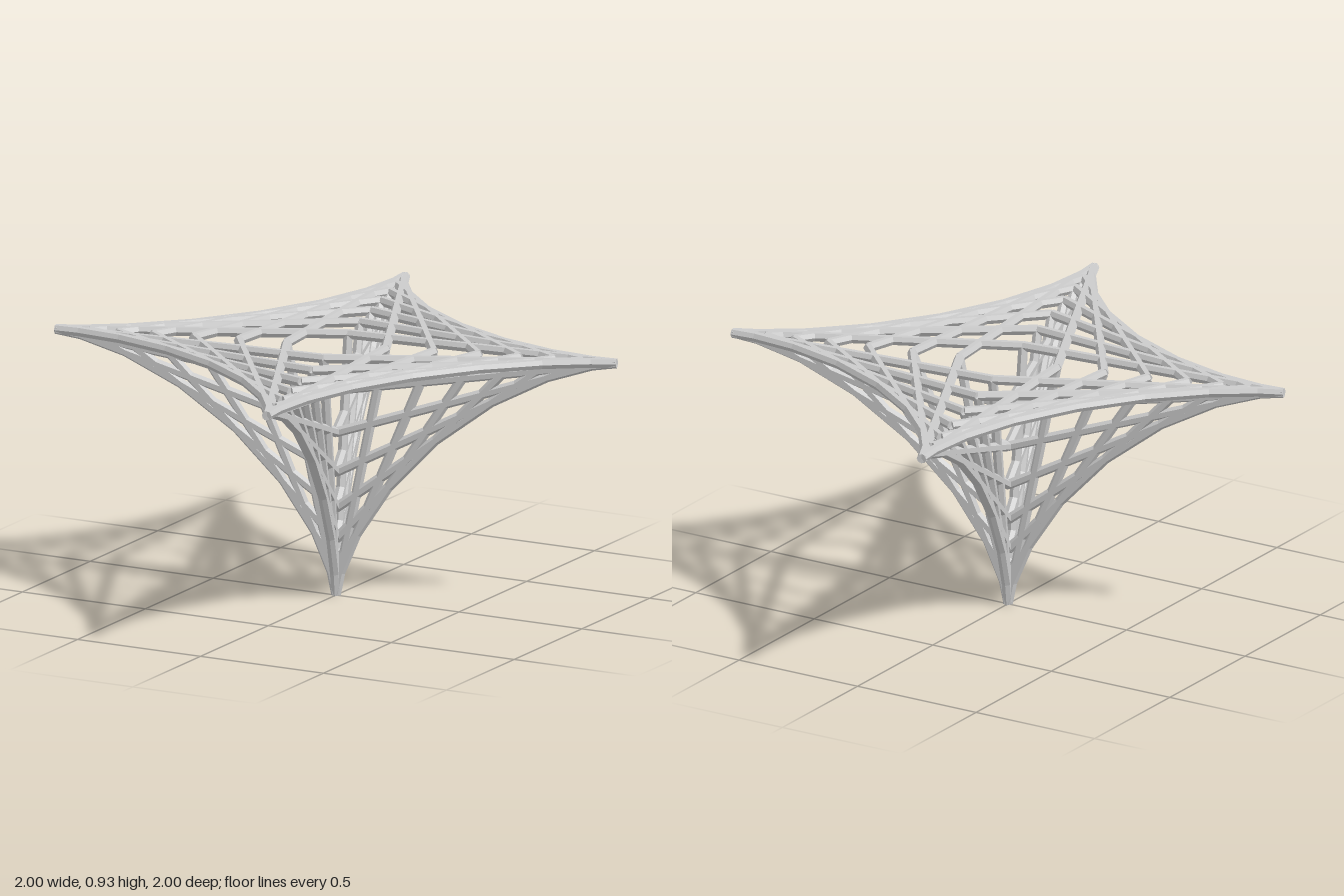
import * as THREE from 'three';

const STEPS = 9;
const RADIUS = 0.018;
const TOP = 0.915;
const BOTTOM = 0.003;

export function createModel() {
  const model = new THREE.Group();
  model.name = 'stringArtStar';
  const material = new THREE.MeshStandardMaterial({ color: 0xcccccc, flatShading: true });

  // Hexagonal rod between two points, one flat side facing the sheet's normal
  function rod(a, b, normal, name) {
    const along = b.clone().sub(a);
    const length = along.length();
    along.normalize();
    const mesh = new THREE.Mesh(new THREE.CylinderGeometry(RADIUS, RADIUS, length, 6), material);
    const side = new THREE.Vector3().crossVectors(normal, along);
    mesh.quaternion.setFromRotationMatrix(new THREE.Matrix4().makeBasis(normal, along, side));
    mesh.position.copy(a).add(b).multiplyScalar(0.5);
    mesh.name = name;
    return mesh;
  }

  // Share of an axis reached at a step: a ladder sliding down a wall in equal angles
  const reach = (i) => Math.sin((i / STEPS) * Math.PI / 2) / Math.cos(Math.PI / 2 / STEPS);

  // Astroid sheet of rods: the ladder's positions between two axes
  function sheet(center, tipA, tipB, name) {
    const group = new THREE.Group();
    group.name = name;
    const normal = tipA.clone().sub(center).cross(tipB.clone().sub(center)).normalize();
    for (let i = 1; i < STEPS; i++) {
      const a = center.clone().lerp(tipA, reach(i));
      const b = center.clone().lerp(tipB, reach(STEPS - i));
      group.add(rod(a, b, normal, name + 'Rod'));
    }
    return group;
  }

  // Four arm tips a quarter turn apart, and the foot below the centre
  const center = new THREE.Vector3(0, TOP, 0);
  const foot = new THREE.Vector3(0, BOTTOM, 0);
  const tips = [];
  let x = 0.266, z = 0.993;
  for (let k = 0; k < 4; k++) {
    tips.push(new THREE.Vector3(x, TOP, z));
    [x, z] = [z, -x];
  }

  // Flat sheets between neighbouring arms, upright sheets from each arm to the foot
  tips.forEach((tip, k) => {
    model.add(sheet(center, tip, tips[(k + 1) % 4], 'topSheet'));
    model.add(sheet(center, tip, foot, 'uprightSheet'));
  });
  return model;
}
